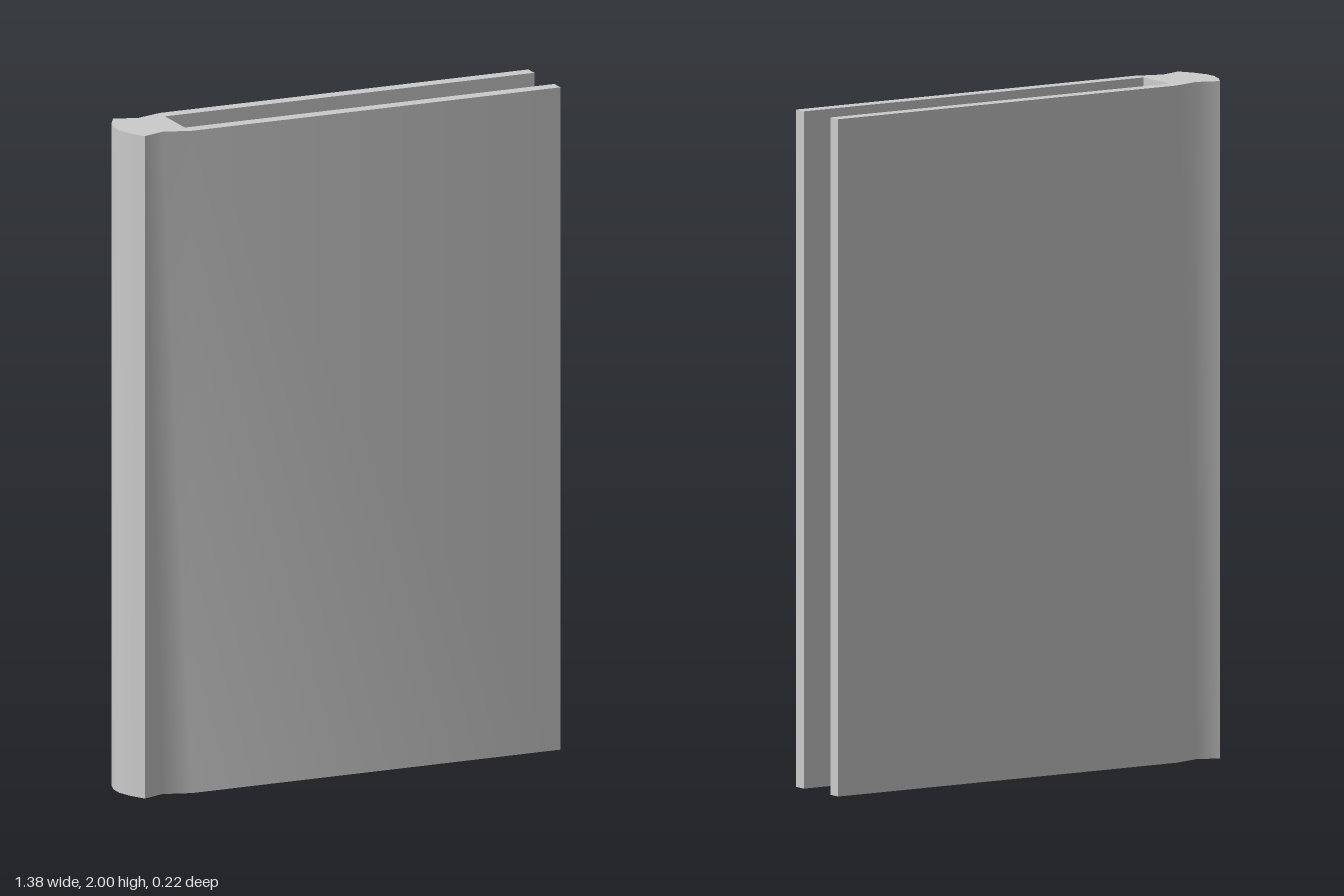
import * as THREE from 'three';
import { toCreasedNormals } from 'three/addons/utils/BufferGeometryUtils.js';

const HEIGHT = 2;

export function createModel() {
  const book = new THREE.Group();
  book.name = 'book';
  const material = new THREE.MeshStandardMaterial({ color: 0xcccccc });

  // Half of the cover outline: rounded spine, hinge groove, board, inside of board
  const half = [
    [-0.688, 0.02], [-0.674, 0.064], [-0.648, 0.111], [-0.58, 0.086],
    [-0.497, 0.112], [0.687, 0.112], [0.687, 0.07], [-0.5, 0.07],
  ];
  const mirrored = half.map(([x, z]) => [x, -z]).reverse();
  const outline = [...half, ...mirrored].map(([x, z]) => new THREE.Vector2(x, z));

  // Cover: the outline extruded upwards, soft across spine and hinge
  const coverGeometry = new THREE.ExtrudeGeometry(new THREE.Shape(outline), {
    depth: HEIGHT, bevelEnabled: false,
  });
  coverGeometry.rotateX(-Math.PI / 2);
  const cover = new THREE.Mesh(toCreasedNormals(coverGeometry, Math.PI / 4), material);
  cover.name = 'cover';

  // Page block, recessed at the top, bottom and fore edge
  const pages = new THREE.Mesh(new THREE.BoxGeometry(1.075, 1.76, 0.14), material);
  pages.name = 'pages';
  pages.position.set(0.0375, HEIGHT / 2, 0);

  book.add(cover, pages);
  return book;
}
